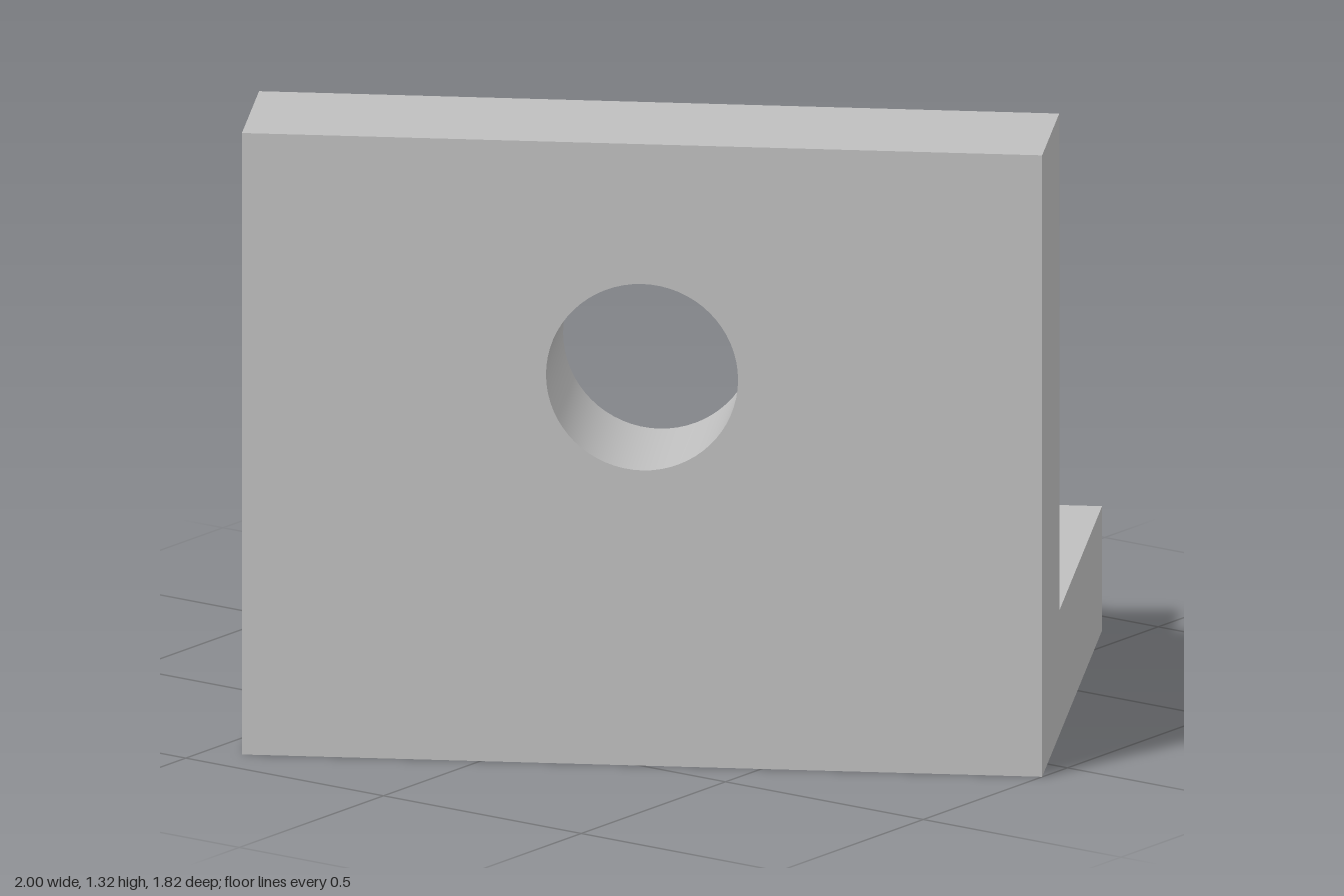
import * as THREE from 'three';
import { toCreasedNormals } from 'three/addons/utils/BufferGeometryUtils.js';

const U = 0.1644; // module unit: the bracket is 10 wide, 7 deep, 8 high
const WIDTH = 10 * U, DEPTH = 7 * U, HEIGHT = 8 * U;
const WALL = 2 * U, LEDGE = 1.6 * U;

export function createModel() {
  const grey = new THREE.MeshStandardMaterial({ color: 0xbfbfbf });
  grey.name = 'plain grey';

  const bracket = new THREE.Group();
  bracket.name = 'angleBracket';

  // Upright wall with a round through hole
  const outline = new THREE.Shape();
  outline.moveTo(-WIDTH / 2, 0);
  outline.lineTo(WIDTH / 2, 0);
  outline.lineTo(WIDTH / 2, HEIGHT);
  outline.lineTo(-WIDTH / 2, HEIGHT);
  outline.closePath();
  const hole = new THREE.Path();
  hole.absarc(0, 5 * U, 1.2 * U, 0, Math.PI * 2, true);
  outline.holes.push(hole);
  const wallGeometry = toCreasedNormals(
    new THREE.ExtrudeGeometry(outline, { depth: WALL, bevelEnabled: false, curveSegments: 32 }),
    Math.PI / 6
  );
  const wall = new THREE.Mesh(wallGeometry, grey);
  wall.name = 'uprightWall';
  wall.position.z = DEPTH / 2 - WALL;
  bracket.add(wall);

  // Flat ledge behind the wall
  const ledge = new THREE.Mesh(new THREE.BoxGeometry(WIDTH, LEDGE, DEPTH - WALL), grey);
  ledge.name = 'baseLedge';
  ledge.position.set(0, LEDGE / 2, -WALL / 2);
  bracket.add(ledge);

  // The whole bracket stands turned by 30 degrees
  bracket.rotation.y = Math.PI / 6;

  const model = new THREE.Group();
  model.name = 'model';
  model.add(bracket);
  return model;
}
